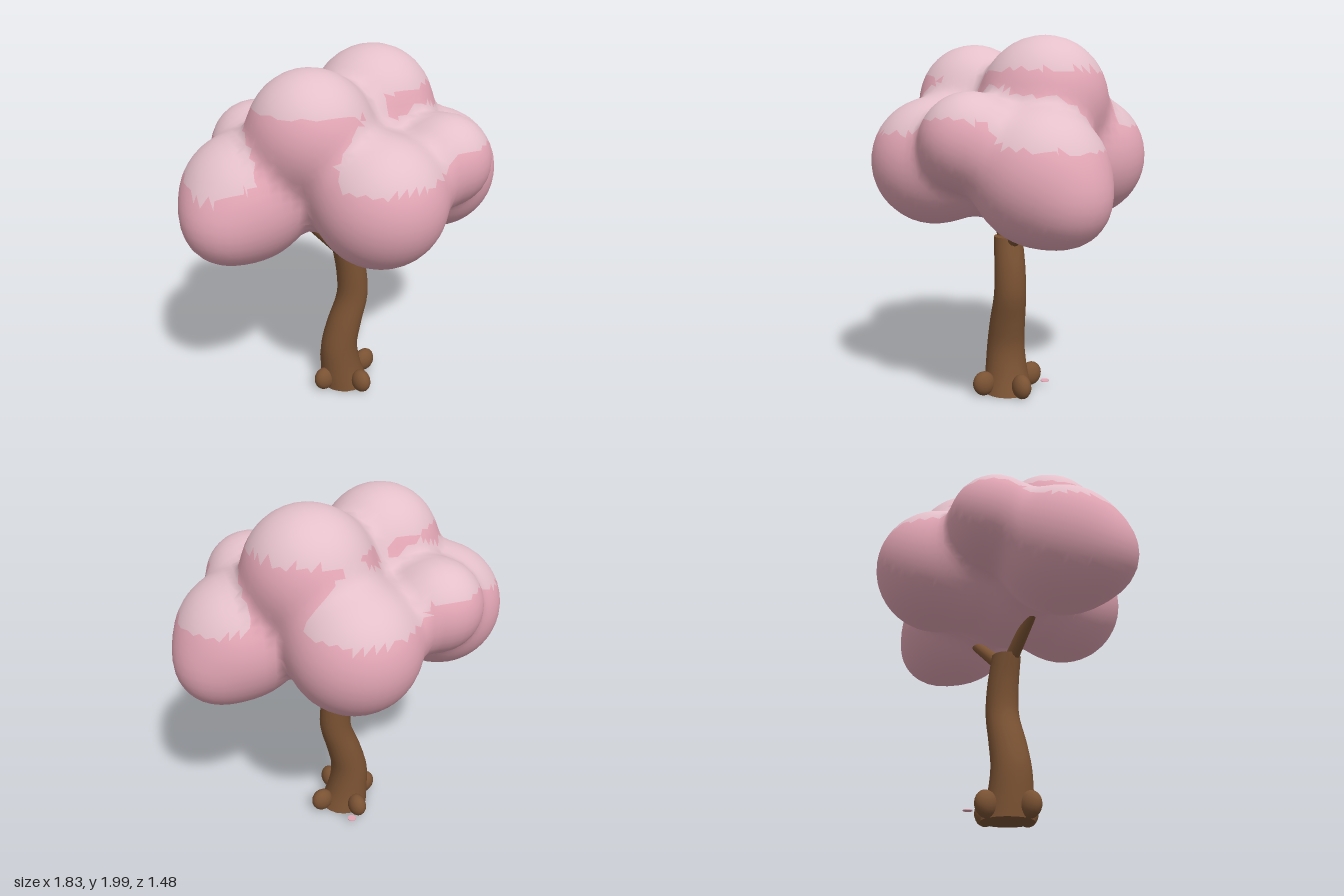
import * as THREE from 'three';
import { toCreasedNormals } from 'three/addons/utils/BufferGeometryUtils.js';

const material = (name, color) => {
  const m = new THREE.MeshStandardMaterial({ color });
  m.name = name;
  return m;
};

// Foliage lumps: x, y, z, radius
const LUMPS = [
  [0, 1.37, 0, 0.36],         // core
  [-0.25, 1.66, 0.12, 0.31],  // upper left
  [0.22, 1.67, -0.13, 0.328], // upper right
  [0, 1.35, 0.405, 0.335],    // front
  [0.08, 1.365, -0.41, 0.335], // back
  [-0.55, 1.315, -0.02, 0.335], // left
  [-0.7, 1.24, 0.08, 0.2],    // left tip
  [0.55, 1.305, 0, 0.335],    // right
  [0.7, 1.2, -0.07, 0.2],     // right tip
  [0.41, 1.475, 0.32, 0.24],  // front right filler
  [-0.38, 1.475, -0.325, 0.24], // back left filler
];
const BLEND = 0.04;

// Softly merged distance to all lumps
function foliageDistance(x, y, z) {
  let sum = 0;
  for (const [cx, cy, cz, r] of LUMPS) {
    sum += Math.exp((r - Math.hypot(x - cx, y - cy, z - cz)) / BLEND);
  }
  return -BLEND * Math.log(sum + 1e-200);
}

function foliageNormal(p) {
  const e = 0.002;
  return new THREE.Vector3(
    foliageDistance(p.x + e, p.y, p.z) - foliageDistance(p.x - e, p.y, p.z),
    foliageDistance(p.x, p.y + e, p.z) - foliageDistance(p.x, p.y - e, p.z),
    foliageDistance(p.x, p.y, p.z + e) - foliageDistance(p.x, p.y, p.z - e),
  ).normalize();
}

// Skin the lumps: one vertex per grid cell on the surface, one quad per crossed grid edge
function foliageGeometry() {
  const h = 0.052, min = [-1.03, 0.84, -0.88], n = [41, 25, 35];
  const id = (i, j, k) => i + n[0] * (j + n[1] * k);
  const inside = [];
  for (let k = 0; k < n[2]; k++) for (let j = 0; j < n[1]; j++) for (let i = 0; i < n[0]; i++) {
    inside[id(i, j, k)] = foliageDistance(min[0] + i * h, min[1] + j * h, min[2] + k * h) < 0;
  }
  const cells = new Map();
  const cellVertex = (c) => {
    const key = id(...c);
    if (!cells.has(key)) {
      const p = new THREE.Vector3(...c.map((v, a) => min[a] + (v + 0.5) * h));
      for (let s = 0; s < 5; s++) p.addScaledVector(foliageNormal(p), -foliageDistance(p.x, p.y, p.z));
      cells.set(key, { p, normal: foliageNormal(p) });
    }
    return cells.get(key);
  };
  const sides = [[], []]; // shaded pink, pale upward-facing pink
  const addTriangle = (tri) => {
    const up = (tri[0].normal.y + tri[1].normal.y + tri[2].normal.y) / 3;
    sides[up > 0.46 ? 1 : 0].push(...tri);
  };
  for (let k = 1; k < n[2] - 1; k++) for (let j = 1; j < n[1] - 1; j++) for (let i = 1; i < n[0] - 1; i++) {
    for (let a = 0; a < 3; a++) {
      const here = [i, j, k], next = [i, j, k];
      next[a]++;
      const isIn = inside[id(...here)];
      if (isIn === inside[id(...next)]) continue;
      const b = (a + 1) % 3, c = (a + 2) % 3;
      const quad = [[-1, -1], [0, -1], [0, 0], [-1, 0]].map(([u, v]) => {
        const cell = [...here];
        cell[b] += u;
        cell[c] += v;
        return cellVertex(cell);
      });
      if (!isIn) quad.reverse();
      addTriangle([quad[0], quad[1], quad[2]]);
      addTriangle([quad[0], quad[2], quad[3]]);
    }
  }
  const all = [...sides[0], ...sides[1]];
  const geo = new THREE.BufferGeometry();
  geo.setAttribute('position', new THREE.Float32BufferAttribute(all.flatMap((v) => v.p.toArray()), 3));
  geo.setAttribute('normal', new THREE.Float32BufferAttribute(all.flatMap((v) => v.normal.toArray()), 3));
  geo.addGroup(0, sides[0].length, 0);
  geo.addGroup(sides[0].length, sides[1].length, 1);
  return geo;
}

// Bent, tapering trunk: a cylinder whose rings follow (centre x, height, radius)
function trunkGeometry() {
  const spine = new THREE.CatmullRomCurve3([
    [-0.008, 0.015, 0.14], [-0.032, 0.13, 0.121], [-0.042, 0.28, 0.107], [-0.008, 0.43, 0.1],
    [0.042, 0.6, 0.09], [0.036, 0.76, 0.086], [0.003, 0.92, 0.08],
  ].map((p) => new THREE.Vector3(...p)));
  const geo = new THREE.CylinderGeometry(1, 1, 1, 20, 24);
  const pos = geo.attributes.position;
  for (let i = 0; i < pos.count; i++) {
    const s = spine.getPoint(pos.getY(i) + 0.5);
    pos.setXYZ(i, s.x + pos.getX(i) * s.z, s.y, pos.getZ(i) * s.z);
  }
  return toCreasedNormals(geo, 0.9);
}

export function createModel() {
  const bark = material('bark brown', 0x7a5233);
  const blossom = material('blossom pink', 0xe3a6b5);
  const pale = material('pale blossom pink', 0xe4c0ca);
  const tree = new THREE.Group();
  tree.name = 'blossomTree';
  const add = (name, geo, mat) => {
    const mesh = new THREE.Mesh(geo, mat);
    mesh.name = name;
    tree.add(mesh);
    return mesh;
  };

  add('foliage', foliageGeometry(), [blossom, pale]);
  add('trunk', trunkGeometry(), bark);

  // Branches from the trunk top into the foliage
  const branch = (name, from, to) => {
    const a = new THREE.Vector3(...from), b = new THREE.Vector3(...to);
    const dir = b.clone().sub(a);
    const mesh = add(name, new THREE.CylinderGeometry(0.028, 0.04, dir.length(), 12), bark);
    mesh.position.copy(a).add(b).multiplyScalar(0.5);
    mesh.quaternion.setFromUnitVectors(new THREE.Vector3(0, 1, 0), dir.normalize());
  };
  branch('rightBranch', [0, 0.875, 0.01], [-0.25, 1.14, 0.02]);
  branch('leftBranch', [0.03, 0.875, -0.01], [0.36, 1.15, -0.02]);

  // Four rounded roots in a ring, turned slightly off the axes
  for (let i = 0; i < 4; i++) {
    const angle = 0.24 + (i / 4) * Math.PI * 2;
    const root = add('root' + (i + 1), new THREE.SphereGeometry(1, 18, 12), bark);
    root.scale.set(0.066, 0.07, 0.05);
    root.position.set(Math.cos(angle) * 0.152 - 0.006, 0.081, -Math.sin(angle) * 0.155);
    root.rotation.set(0, angle, -0.25, 'YXZ');
  }

  // Fallen petal behind the trunk
  const petal = add('petal', new THREE.CylinderGeometry(0.025, 0.025, 0.004, 12), blossom);
  petal.position.set(0.015, 0.05, -0.22);
  return tree;
}
